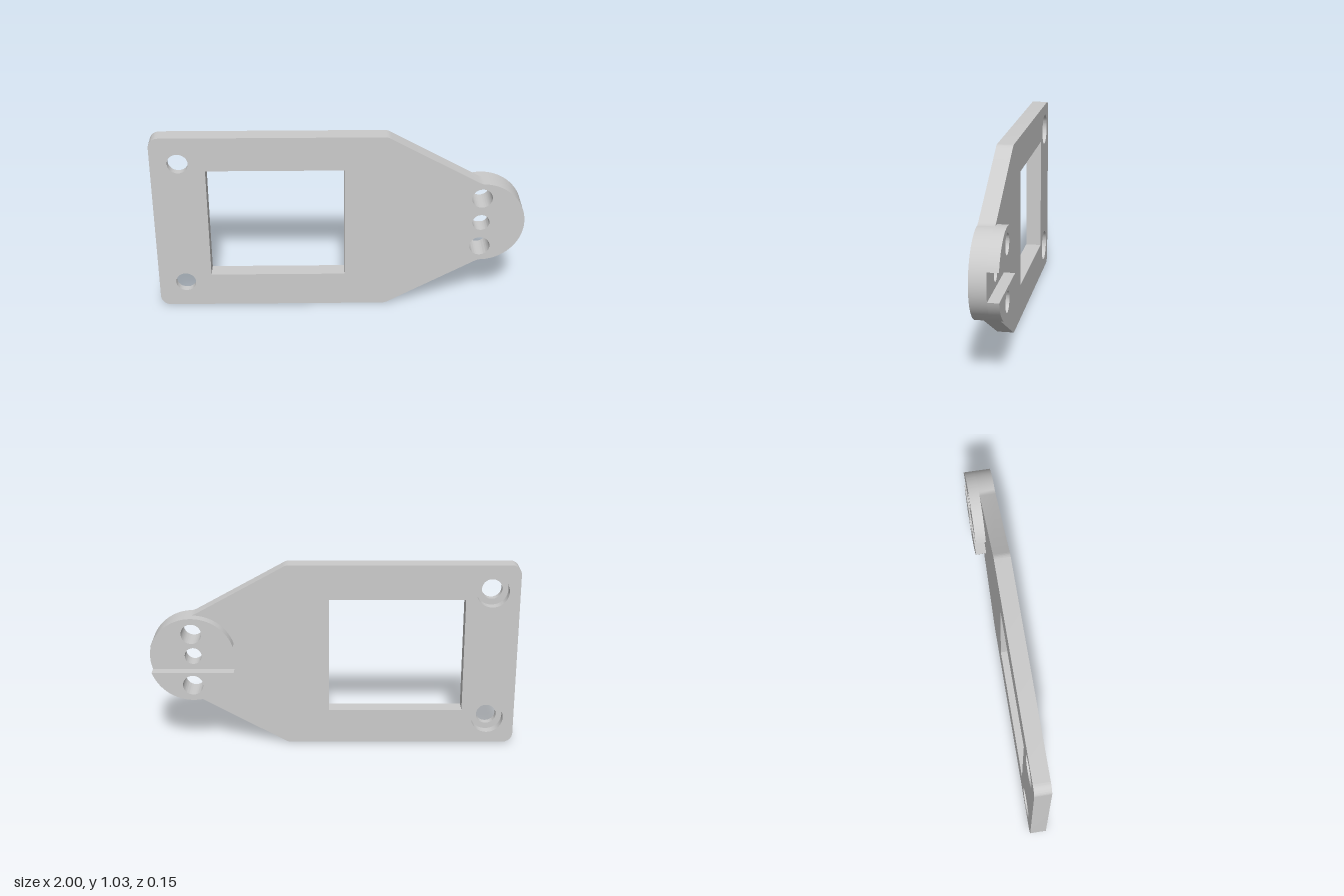
import * as THREE from 'three';
import { toCreasedNormals } from 'three/addons/utils/BufferGeometryUtils.js';

const MID = 0.517;                       // height of the symmetry line
const BACK = -0.015, FRONT = 0.073;      // plate faces
const BOSS_X = 0.765, BOSS_R = 0.235, BOSS_BACK = -0.073;
const SLOT = 0.075;                      // half width of the slot across the boss
const SEAT_Z = 0.035;                    // floor of the counterbores

export function createModel() {
  const group = new THREE.Group();
  const material = new THREE.MeshStandardMaterial({ color: 0xcccccc });

  const circle = (x, y, r, Type = THREE.Path) => {
    const path = new Type();
    path.absarc(x, y, r, 0, Math.PI * 2, false);
    return path;
  };
  const addPart = (name, shape, z0, z1) => {
    const geometry = new THREE.ExtrudeGeometry(shape, {
      depth: z1 - z0, bevelEnabled: false, curveSegments: 32,
    });
    geometry.translate(0, MID, z0);
    const mesh = new THREE.Mesh(toCreasedNormals(geometry, 0.4), material);
    mesh.name = name;
    group.add(mesh);
  };

  // Plate outline: rounded left corners, tapering to a round nose
  const H = MID, r = 0.055;
  const plate = new THREE.Shape();
  plate.moveTo(-1 + r, -H);
  plate.lineTo(0.235, -H);
  plate.quadraticCurveTo(0.255, -H, 0.275, -H + 0.013);
  plate.lineTo(0.745, -BOSS_R - 0.008);
  plate.lineTo(BOSS_X, -BOSS_R);
  plate.absarc(BOSS_X, 0, BOSS_R, -Math.PI / 2, Math.PI / 2, false);
  plate.lineTo(0.745, BOSS_R + 0.008);
  plate.lineTo(0.275, H - 0.013);
  plate.quadraticCurveTo(0.255, H, 0.235, H);
  plate.lineTo(-1 + r, H);
  plate.absarc(-1 + r, H - r, r, Math.PI / 2, Math.PI, false);
  plate.absarc(-1 + r, -H + r, r, Math.PI, Math.PI * 1.5, false);

  // Rectangular window
  plate.holes.push(new THREE.Path([
    [-0.71, -0.322], [-0.71, 0.324], [0.025, 0.324], [0.025, -0.322],
  ].map(([x, y]) => new THREE.Vector2(x, y))));

  // Nose holes and the wide part of the counterbored holes
  plate.holes.push(circle(BOSS_X, 0, 0.046));
  for (const s of [1, -1]) {
    plate.holes.push(circle(BOSS_X, s * 0.148, 0.055));
    plate.holes.push(circle(-0.853, s * 0.368, 0.088));
  }
  addPart('plate', plate, BACK, FRONT);

  for (const s of [1, -1]) {
    const side = s > 0 ? 'upper' : 'lower';

    // Ring that narrows each counterbore at the front
    const seat = circle(-0.853, s * 0.368, 0.088, THREE.Shape);
    seat.holes.push(circle(-0.853, s * 0.368, 0.055));
    addPart(side + 'ScrewSeat', seat, SEAT_Z, FRONT);

    // Half of the slotted boss on the back
    const a = Math.asin(SLOT / BOSS_R);
    const boss = new THREE.Shape();
    boss.absarc(BOSS_X, 0, BOSS_R, s * a, s * (Math.PI - a), s < 0);
    boss.closePath();
    boss.holes.push(circle(BOSS_X, s * 0.148, 0.055));
    addPart(side + 'Boss', boss, BOSS_BACK, BACK);
  }
  return group;
}
